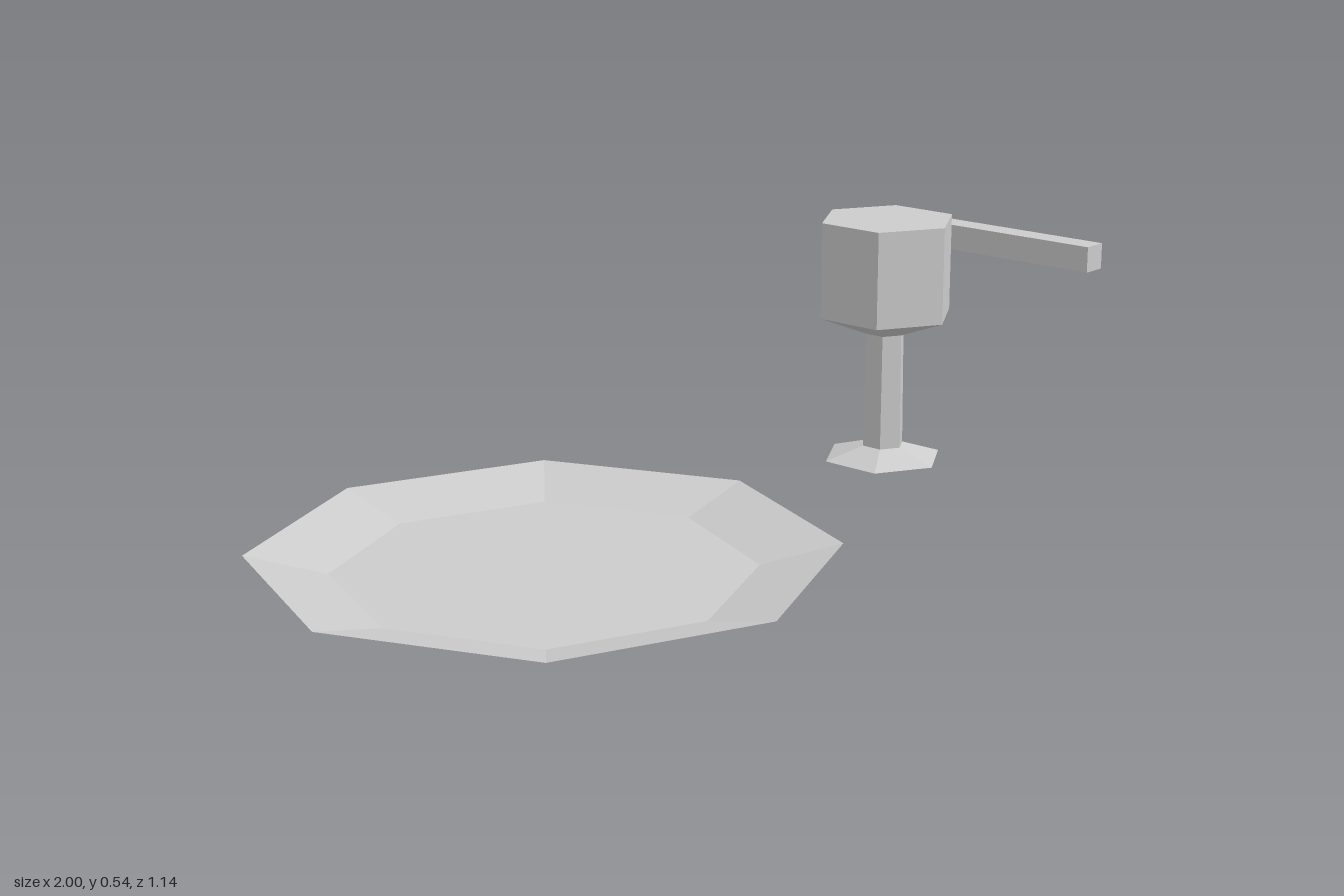
import * as THREE from 'three';

export function createModel() {
  const group = new THREE.Group();
  const material = new THREE.MeshStandardMaterial({ color: 0xcccccc, flatShading: true });

  function add(name, geometry, x, y, z) {
    const mesh = new THREE.Mesh(geometry, material);
    mesh.name = name;
    mesh.position.set(x, y, z);
    group.add(mesh);
  }

  // Faceted turned part: profile of [radius, height], from bottom centre to top centre
  function turned(profile, sides) {
    return new THREE.LatheGeometry(profile.map(([r, y]) => new THREE.Vector2(r, y)), sides);
  }

  // Shallow octagonal plate with a sloping rim
  add('plate', turned([[0, 0.013], [0.427, 0.013], [0.57, 0.06], [0.41, 0.02], [0, 0.02]], 8), -0.43, 0, 0);

  // Hexagonal goblet: flared foot, slim stem, tapered and filled bowl
  add('gobletFoot', turned([[0, 0], [0.135, 0], [0.047, 0.028], [0, 0.028]], 6), 0.63, 0, 0);
  add('gobletStem', new THREE.CylinderGeometry(0.044, 0.047, 0.255, 6, 1, true), 0.63, 0.1555, 0);
  add('gobletBowl', turned([[0, 0.283], [0.044, 0.283], [0.152, 0.325], [0.152, 0.536], [0, 0.536]], 6), 0.63, 0, 0);

  // Square bar beside the goblet
  add('bar', new THREE.BoxGeometry(0.057, 0.057, 0.537), 0.9715, 0.438, 0.043);

  return group;
}
